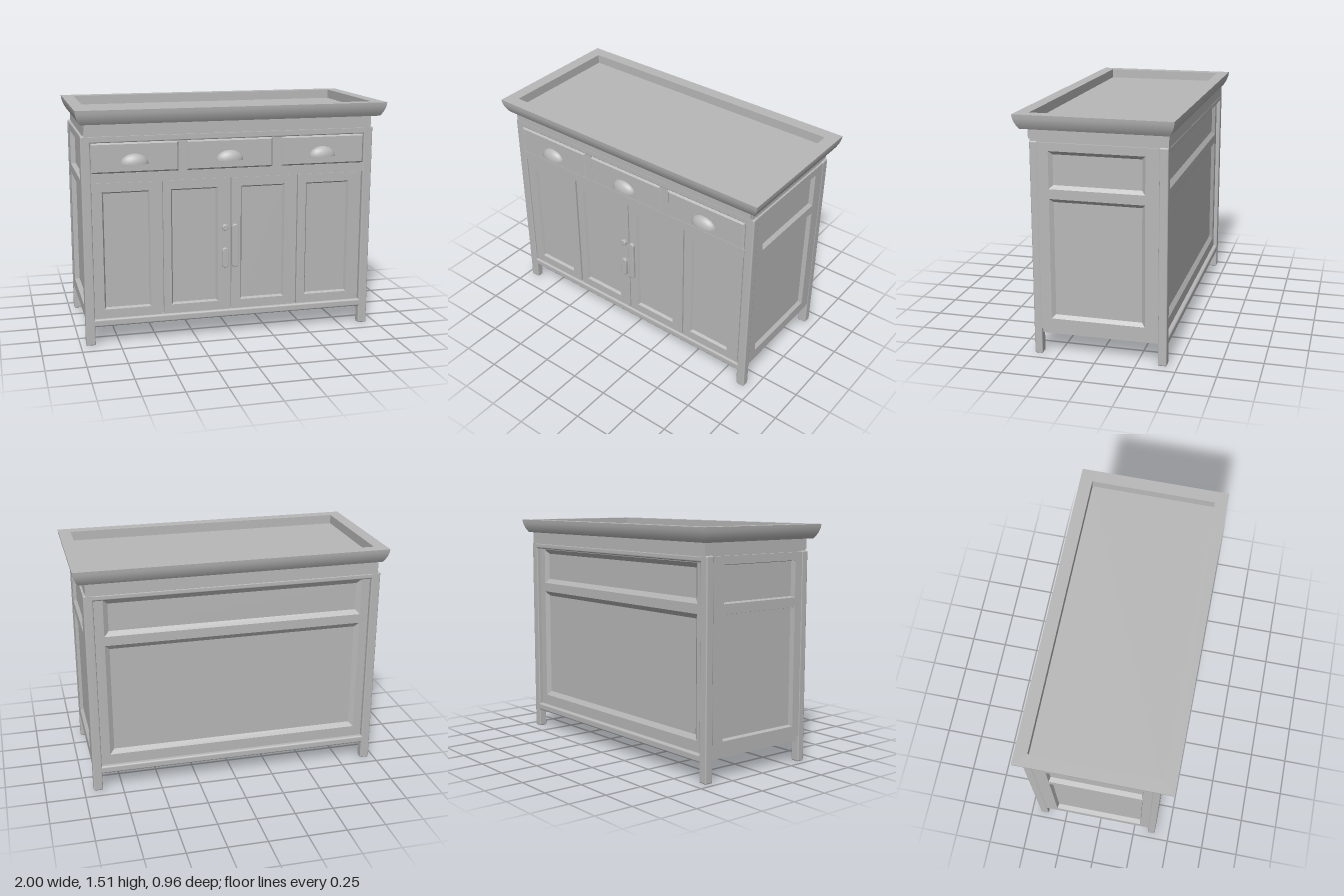
import * as THREE from 'three';
import { mergeGeometries, toCreasedNormals } from 'three/addons/utils/BufferGeometryUtils.js';
import { RoundedBoxGeometry } from 'three/addons/geometries/RoundedBoxGeometry.js';

const grey = new THREE.MeshStandardMaterial({ color: 0xb8b8b8, side: THREE.DoubleSide });
grey.name = 'grey paint';

// Non-indexed geometry from a list of four-cornered faces
function quads(list) {
  const p = [];
  for (const [a, b, c, d] of list) p.push(...a, ...b, ...c, ...a, ...c, ...d);
  const g = new THREE.BufferGeometry();
  g.setAttribute('position', new THREE.Float32BufferAttribute(p, 3));
  g.computeVertexNormals();
  return g;
}

const rect = ([x0, y0, x1, y1]) => [[x0, y0], [x1, y0], [x1, y1], [x0, y1]];
const toPoints = r => rect(r).map(([x, y]) => new THREE.Vector2(x, y));

// Board facing +z with its face at z = 0, and bevelled recesses cut into it
function panelGeometry(outer, holes, depth, bevel) {
  const shape = new THREE.Shape(toPoints(outer));
  for (const h of holes) shape.holes.push(new THREE.Path(toPoints(h)));
  const thick = depth + 0.004;
  const frame = new THREE.ExtrudeGeometry(shape, { depth: thick, bevelEnabled: false });
  frame.translate(0, 0, -thick);
  frame.deleteAttribute('uv');
  const parts = [frame.index ? frame.toNonIndexed() : frame];
  for (const h of holes) {
    const o = rect(h).map(([x, y]) => [x, y, 0]);
    const n = rect([h[0] + bevel, h[1] + bevel, h[2] - bevel, h[3] - bevel]).map(([x, y]) => [x, y, -depth]);
    const faces = [n];
    for (let i = 0; i < 4; i++) {
      const j = (i + 1) % 4;
      faces.push([o[i], o[j], n[j], n[i]]);
    }
    parts.push(quads(faces));
  }
  return mergeGeometries(parts);
}

export function createModel() {
  const model = new THREE.Group();
  model.name = 'sideboard';

  const add = (name, geometry, x = 0, y = 0, z = 0, turn = 0) => {
    const mesh = new THREE.Mesh(geometry, grey);
    mesh.name = name;
    mesh.position.set(x, y, z);
    mesh.rotation.y = turn;
    model.add(mesh);
    return mesh;
  };
  // Box given by its limits, with optional rounded edges
  const box = (name, x0, x1, y0, y1, z0, z1, r = 0) => {
    const s = [x1 - x0, y1 - y0, z1 - z0];
    const g = r ? new RoundedBoxGeometry(...s, 3, r) : new THREE.BoxGeometry(...s);
    return add(name, g, (x0 + x1) / 2, (y0 + y1) / 2, (z0 + z1) / 2);
  };

  // Moulded tray top: one profile of [inset, height] swept round the rectangle
  const profile = [[0.1, 1.42], [0.033, 1.42], [0.022, 1.437], [0.011, 1.46], [0.003, 1.485],
    [0, 1.51], [0.08, 1.51], [0.08, 1.45]];
  const loops = profile.map(([d, y]) => {
    const x = 1 - d, z = 0.48 - d;
    return [[-x, y, z], [x, y, z], [x, y, -z], [-x, y, -z]];
  });
  const faces = [];
  for (let k = 0; k + 1 < loops.length; k++) {
    for (let i = 0; i < 4; i++) {
      const j = (i + 1) % 4;
      faces.push([loops[k][i], loops[k][j], loops[k + 1][j], loops[k + 1][i]]);
    }
  }
  add('topMoulding', toCreasedNormals(quads(faces), 0.6));
  box('topFloor', -0.92, 0.92, 1.421, 1.45, -0.4, 0.4);
  box('frieze', -0.945, 0.925, 1.34, 1.422, -0.435, 0.4);
  box('friezeTrim', -0.94, 0.92, 1.355, 1.422, 0.4, 0.412);

  // Carcass and bottom board
  box('carcass', -0.92, 0.9, 0.15, 1.342, -0.37, 0.355);
  box('bottomBoard', -0.945, 0.92, 0.135, 0.17, -0.42, 0.385);

  // Corner posts reaching down as legs
  for (const [x0, x1] of [[-0.965, -0.905], [0.88, 0.94]]) {
    box('frontPost', x0, x1, 0, 1.345, 0.35, 0.4, 0.008);
    box('backPost', x0, x1, 0, 1.345, -0.435, -0.38, 0.008);
  }

  // Rails on the front and back
  box('frontTopRail', -0.92, 0.895, 1.3, 1.345, 0.35, 0.4, 0.008);
  box('frontMiddleRail', -0.92, 0.895, 1.05, 1.11, 0.35, 0.398);
  box('frontBottomRail', -0.92, 0.895, 0.12, 0.17, 0.35, 0.4, 0.012);
  box('backTopRail', -0.92, 0.895, 1.305, 1.345, -0.435, -0.38, 0.012);
  box('backBottomRail', -0.92, 0.895, 0.12, 0.17, -0.435, -0.38, 0.012);

  // Side panels: shallow bevelled fields on the left, deep ones on the right
  const Q = Math.PI / 2;
  add('leftSidePanel', panelGeometry([-0.385, 0.17, 0.382, 1.34],
    [[-0.285, 0.24, 0.3, 1.0], [-0.285, 1.06, 0.3, 1.29]], 0.02, 0.022), 0.938, 0, 0, Q);
  add('rightSidePanel', panelGeometry([-0.382, 0.17, 0.385, 1.34],
    [[-0.3, 0.24, 0.295, 1.0], [-0.3, 1.06, 0.295, 1.29]], 0.032, 0.006), -0.962, 0, 0, -Q);

  // Back panel set in between the posts
  add('backPanel', panelGeometry([-0.89, 0.16, 0.915, 1.32],
    [[-0.82, 0.24, 0.85, 1.0], [-0.82, 1.06, 0.85, 1.3]], 0.02, 0.03), 0, 0, -0.408, 2 * Q);

  // Three drawers with cup pulls
  const drawers = [[-0.905, -0.355], [-0.303, 0.258], [0.315, 0.877]];
  for (const [x0, x1] of drawers) {
    const front = new THREE.ExtrudeGeometry(new THREE.Shape(toPoints([x0, 1.11, x1, 1.3])), {
      depth: 0.035, bevelThickness: 0.012, bevelSize: 0.01, bevelOffset: -0.01, bevelSegments: 1,
    });
    add('drawerFront', front, 0, 0, 0.36);
    const cup = add('cupPull', new THREE.SphereGeometry(1, 24, 10, 0, Math.PI, 0, Math.PI / 2),
      (x0 + x1) / 2 - 0.005, 1.165, 0.402);
    cup.scale.set(0.088, 0.065, 0.047);
  }
  for (const [x0, x1] of [[-0.355, -0.303], [0.258, 0.315]]) {
    box('drawerDivider', x0, x1, 1.1, 1.31, 0.35, 0.397);
  }

  // Four doors with sunken panels
  const doors = [
    [-0.905, -0.47, -0.84, -0.54], [-0.456, -0.018, -0.405, -0.1],
    [-0.01, 0.428, 0.052, 0.346], [0.437, 0.872, 0.493, 0.787],
  ];
  for (const [x0, x1, p0, p1] of doors) {
    add('door', panelGeometry([x0, 0.172, x1, 1.047], [[p0, 0.23, p1, 0.99]], 0.018, 0.01), 0, 0, 0.388);
  }

  // Round-ended door pulls
  const pull = (x, y0, y1) => {
    const r = 0.021;
    const s = new THREE.Shape();
    s.absarc(0, y1 - r, r, 0, Math.PI);
    s.absarc(0, y0 + r, r, Math.PI, 2 * Math.PI);
    s.closePath();
    add('doorPull', new THREE.ExtrudeGeometry(s, {
      depth: 0.02, bevelThickness: 0.006, bevelSize: 0.005, bevelOffset: -0.005, bevelSegments: 2, curveSegments: 10,
    }), x, 0, 0.381);
  };
  pull(0.013, 0.455, 0.745);
  pull(-0.053, 0.455, 0.59);
  pull(-0.053, 0.702, 0.745);

  return model;
}
